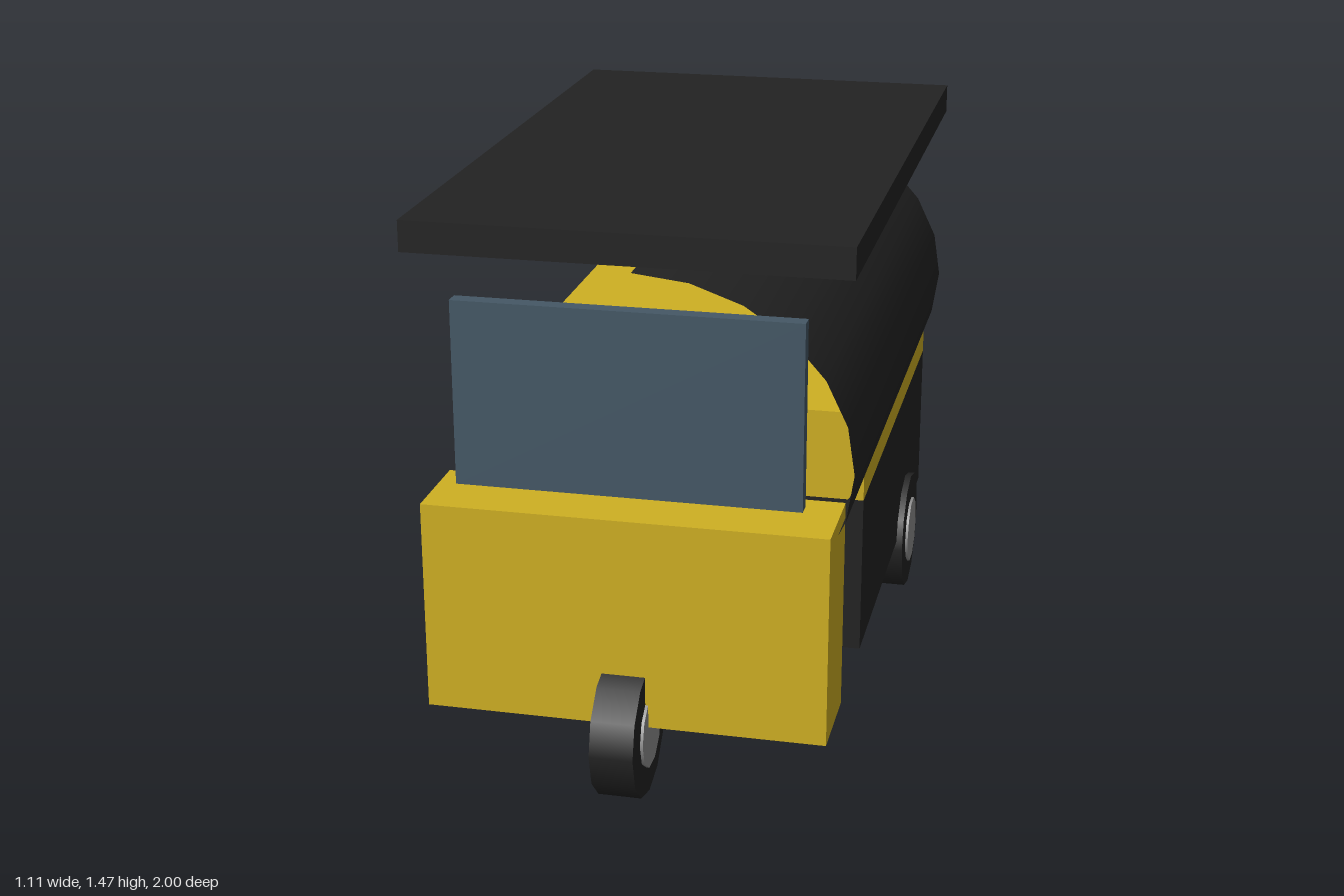
import * as THREE from 'three';

const material = (name, color, extra = {}) => {
  const m = new THREE.MeshStandardMaterial({ color, ...extra });
  m.name = name;
  return m;
};

export function createModel() {
  const yellow = material('yellow paint', 0xcfb023);
  const black = material('black', 0x232323, { side: THREE.DoubleSide });
  const glass = material('blue grey glass', 0x455866);
  const grey = material('hub grey', 0x909090);

  const model = new THREE.Group();
  model.name = 'threeWheeler';

  // Box given by half width, y range and z range
  const box = (name, halfWidth, [y0, y1], [z0, z1], mat) => {
    const mesh = new THREE.Mesh(new THREE.BoxGeometry(halfWidth * 2, y1 - y0, z1 - z0), mat);
    mesh.name = name;
    mesh.position.set(0, (y0 + y1) / 2, (z0 + z1) / 2);
    model.add(mesh);
  };

  // Body
  box('frontCowl', 0.515, [0.2, 0.755], [0.63, 0.865], yellow);
  box('floor', 0.36, [0.2, 0.515], [0.31, 0.63], yellow);
  box('rearLowerBody', 0.515, [0.2, 0.632], [-0.957, 0.31], black);
  box('rearUpperBody', 0.515, [0.632, 0.875], [-0.957, 0.31], yellow);
  box('windscreen', 0.4375, [0.795, 1.273], [0.77, 0.81], glass);
  box('roof', 0.555, [1.39, 1.47], [-1, 0.825], black);

  // Open half-round canopy on the left side
  const canopyGeometry = new THREE.CylinderGeometry(1, 1, 1.745, 12, 1, true, 0, Math.PI);
  canopyGeometry.rotateX(-Math.PI / 2).scale(0.552, 0.475, 1);
  const canopy = new THREE.Mesh(canopyGeometry, black);
  canopy.name = 'sideCanopy';
  canopy.position.set(0, 0.875, -0.1275);
  model.add(canopy);

  // Wheels: tyre with a slightly wider hub
  const tyreGeometry = new THREE.CylinderGeometry(0.174, 0.174, 0.112, 12).rotateZ(Math.PI / 2);
  const hubGeometry = new THREE.CylinderGeometry(0.098, 0.098, 0.127, 10).rotateZ(Math.PI / 2);
  const wheels = [['frontWheel', 0, 0.827], ['rearLeftWheel', 0.477, -0.6], ['rearRightWheel', -0.477, -0.6]];
  for (const [name, x, z] of wheels) {
    const wheel = new THREE.Group();
    wheel.name = name;
    const tyre = new THREE.Mesh(tyreGeometry, black);
    tyre.name = 'tyre';
    const hub = new THREE.Mesh(hubGeometry, grey);
    hub.name = 'hub';
    wheel.add(tyre, hub);
    wheel.position.set(x, 0.174, z);
    model.add(wheel);
  }

  return model;
}
